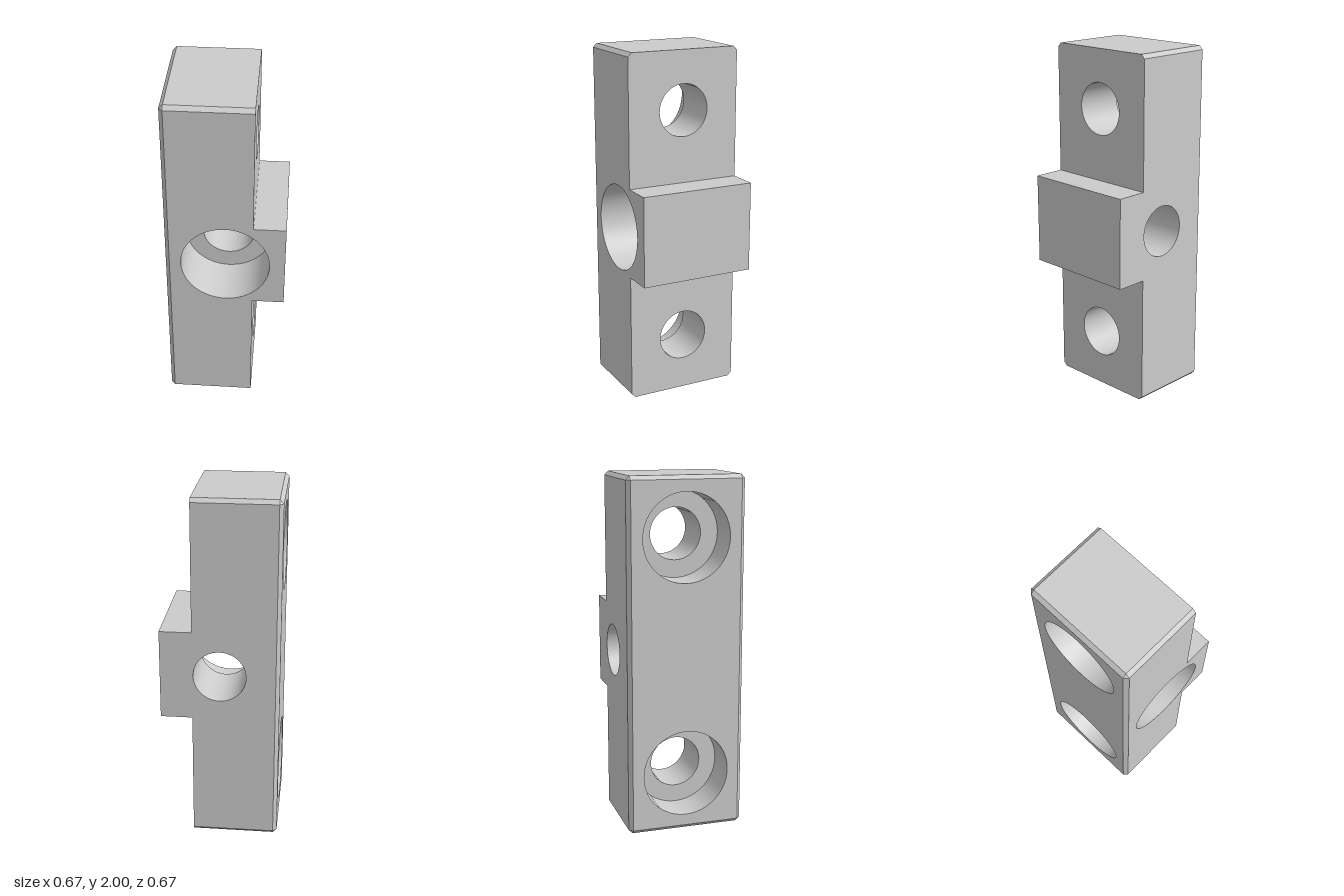
import * as THREE from 'three';
import { mergeGeometries } from 'three/addons/utils/BufferGeometryUtils.js';

const H = 1, W = 0.333, C = 0.022;      // half height, half width, chamfer
const MX = 0.154;                       // mounting face
const TONGUE = 0.257;                   // half height of the tongue
const R_BIG = 0.247, R_SMALL = 0.147;   // counterbore and through hole
const SIDE_Y = 0.667;                   // side bores above and below the middle
const material = new THREE.MeshStandardMaterial({ color: 0xcccccc });

// Flat convex polygon, turned to face away from the middle of the body
function facet(...pts) {
  const p = pts.map(a => new THREE.Vector3(...a));
  const n = p[1].clone().sub(p[0]).cross(p[2].clone().sub(p[0])).normalize();
  const mid = p.reduce((s, v) => s.add(v), new THREE.Vector3()).divideScalar(p.length);
  if (n.dot(mid.sub(new THREE.Vector3(-0.09, 0, 0))) < 0) { p.reverse(); n.negate(); }
  const pos = [], nor = [], uv = [];
  for (let i = 1; i < p.length - 1; i++) {
    for (const v of [p[0], p[i], p[i + 1]]) {
      pos.push(...v.toArray());
      nor.push(...n.toArray());
      uv.push(0, 0);
    }
  }
  const g = new THREE.BufferGeometry();
  g.setAttribute('position', new THREE.Float32BufferAttribute(pos, 3));
  g.setAttribute('normal', new THREE.Float32BufferAttribute(nor, 3));
  g.setAttribute('uv', new THREE.Float32BufferAttribute(uv, 2));
  return g;
}

// Flat panel with round holes, facing +z; holes are [x, y, radius]
function panel(points, holes) {
  const shape = new THREE.Shape(points.map(([x, y]) => new THREE.Vector2(x, y)));
  for (const [x, y, r] of holes) {
    shape.holes.push(new THREE.Path().absarc(x, y, r, 0, Math.PI * 2, true));
  }
  return new THREE.ShapeGeometry(shape, 32).toNonIndexed();
}

// Stepped bore wall, open at y = 0 and running down to -length
function bore(depth, length) {
  const profile = [[R_BIG, 0], [R_BIG, -depth], [R_SMALL, -depth], [R_SMALL, -length]]
    .map(([x, y]) => new THREE.Vector2(x, y));
  return mergeGeometries([0, 1, 2].map(i => new THREE.LatheGeometry(profile.slice(i, i + 2), 64)));
}

export function createModel() {
  const group = new THREE.Group();
  const add = (name, geometry) => {
    geometry.translate(0, H, 0);
    const mesh = new THREE.Mesh(geometry, material);
    mesh.name = name;
    group.add(mesh);
  };
  const xi = -W + C, yi = H - C, zi = W - C;

  // Front and back faces, including the tongue sides
  const outline = [[xi, -yi], [MX, -yi], [MX, -TONGUE], [W, -TONGUE],
    [W, TONGUE], [MX, TONGUE], [MX, yi], [xi, yi]];
  add('frontFace', panel(outline, [[0, 0, R_BIG]]).translate(0, 0, W));
  add('backFace', panel(outline.map(([x, y]) => [-x, y]), [[0, 0, R_SMALL]])
    .rotateY(Math.PI).translate(0, 0, -W));

  // Outer face with two counterbore openings
  add('outerFace', panel([[-zi, -yi], [zi, -yi], [zi, yi], [-zi, yi]],
    [[0, SIDE_Y, R_BIG], [0, -SIDE_Y, R_BIG]]).rotateY(-Math.PI / 2).translate(-W, 0, 0));

  // Mounting faces above and below the tongue
  for (const s of [1, -1]) {
    const pts = [[-W, TONGUE], [W, TONGUE], [W, yi], [zi, H], [-zi, H], [-W, yi]];
    add(s > 0 ? 'upperMountingFace' : 'lowerMountingFace',
      panel(pts.map(([z, y]) => [z, y * s]), [[0, SIDE_Y * s, R_SMALL]])
        .rotateY(Math.PI / 2).translate(MX, 0, 0));
  }

  // Top and bottom
  for (const s of [1, -1]) {
    add(s > 0 ? 'topFace' : 'bottomFace',
      facet([xi, s * H, -zi], [MX, s * H, -zi], [MX, s * H, zi], [xi, s * H, zi]));
  }

  // Chamfers: long edges, outer face edges and corner triangles
  const chamfers = [];
  for (const s of [1, -1]) {
    chamfers.push(
      facet([-W, s * yi, -zi], [-W, s * yi, zi], [xi, s * H, zi], [xi, s * H, -zi]),
      facet([-W, -yi, s * zi], [-W, yi, s * zi], [xi, yi, s * W], [xi, -yi, s * W]));
    for (const t of [1, -1]) {
      chamfers.push(
        facet([xi, s * H, t * zi], [MX, s * H, t * zi], [MX, s * yi, t * W], [xi, s * yi, t * W]),
        facet([-W, s * yi, t * zi], [xi, s * H, t * zi], [xi, s * yi, t * W]));
    }
  }
  add('chamfers', mergeGeometries(chamfers));

  // Tongue end, top and bottom
  const tongue = [facet([W, -TONGUE, -W], [W, TONGUE, -W], [W, TONGUE, W], [W, -TONGUE, W])];
  for (const y of [TONGUE, -TONGUE]) {
    tongue.push(facet([MX, y, -W], [W, y, -W], [W, y, W], [MX, y, W]));
  }
  add('tongue', mergeGeometries(tongue));

  // Counterbored holes
  add('frontBore', bore(0.3, 2 * W).rotateX(Math.PI / 2).translate(0, 0, W));
  for (const s of [1, -1]) {
    add(s > 0 ? 'upperSideBore' : 'lowerSideBore',
      bore(0.21, W + MX).rotateZ(Math.PI / 2).translate(-W, s * SIDE_Y, 0));
  }
  return group;
}
